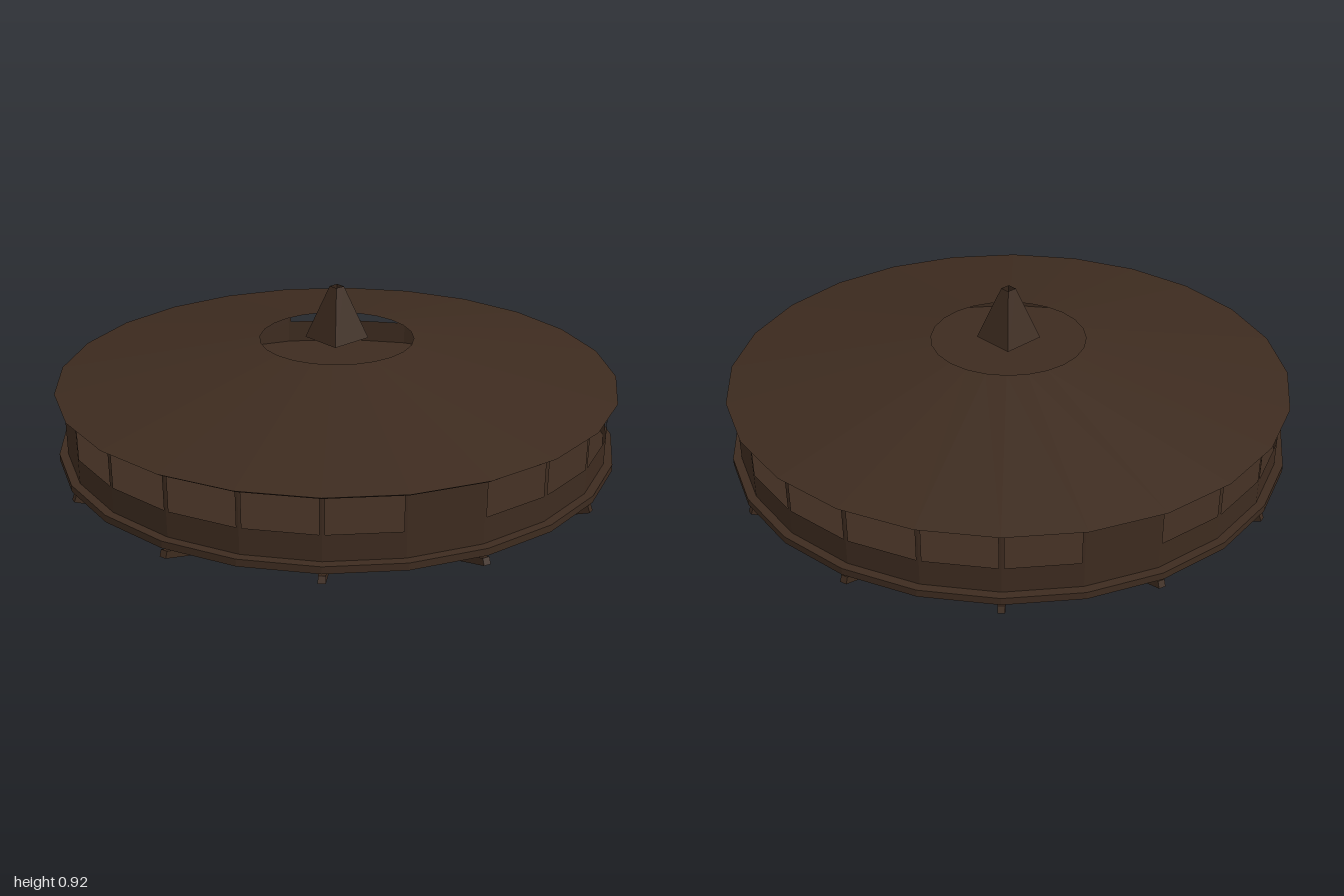
import * as THREE from 'three';

const SIDES = 24;
const WALL_R = 0.97;

export function createModel() {
  const model = new THREE.Group();
  model.name = 'roundPavilion';

  const darkWood = new THREE.MeshStandardMaterial({
    color: 0x3d2b1f, flatShading: true, side: THREE.DoubleSide,
  });
  darkWood.name = 'dark wood';

  const add = (name, geometry, parent = model) => {
    const mesh = new THREE.Mesh(geometry, darkWood);
    mesh.name = name;
    parent.add(mesh);
    return mesh;
  };
  const lathe = (name, points) => add(name,
    new THREE.LatheGeometry(points.map(([r, y]) => new THREE.Vector2(r, y)), SIDES));

  // Deck: shallow conical underside, rim and floor around the central opening
  lathe('deckUnderside', [[0.205, 0.24], [1, 0.345]]);
  lathe('deckRim', [[1, 0.345], [1, 0.37]]);
  lathe('floor', [[1, 0.37], [0.205, 0.37]]);

  // Landing that covers part of the opening
  const landing = add('landing',
    new THREE.RingGeometry(0.04, 0.206, 14, 1, -Math.PI / 6, Math.PI * 7 / 6));
  landing.rotation.x = -Math.PI / 2;
  landing.position.y = 0.37;

  // Wall: parapet all round, four solid bays, slim mullions in the others
  lathe('parapet', [[WALL_R, 0.37], [WALL_R, 0.46]]);
  const step = Math.PI * 2 / SIDES;
  const bayWidth = 2 * WALL_R * Math.sin(step / 2);
  const apothem = WALL_R * Math.cos(step / 2);
  const bayHeight = 0.14;
  for (let i = 0; i < SIDES; i++) {
    const bay = new THREE.Group();
    bay.name = 'wallBay';
    bay.rotation.y = (i + 0.5) * step;
    model.add(bay);
    if (i % 6 === 1) {
      add('solidPanel', new THREE.PlaneGeometry(bayWidth, bayHeight), bay)
        .position.set(0, 0.46 + bayHeight / 2, apothem);
    } else {
      for (const s of [-1, 1]) {
        add('mullion', new THREE.PlaneGeometry(0.009, bayHeight), bay)
          .position.set(s * (bayWidth / 2 - 0.0045), 0.46 + bayHeight / 2, apothem);
      }
    }
  }

  // Roof: low cone with an open eye and thin eaves
  lathe('roof', [[1, 0.597], [0.275, 0.73]]);
  lathe('eaves', [[0.96, 0.587], [0.985, 0.587], [1, 0.597]]);

  // Four-sided open chimney hood above the eye
  add('chimneyHood', new THREE.CylinderGeometry(0.025, 0.112, 0.19, 4, 1, true))
    .position.y = 0.825;

  // Twelve slanted struts fanning out under the deck
  const inner = new THREE.Vector2(0.195, 0.016);
  const outer = new THREE.Vector2(0.994, 0.322);
  const length = inner.distanceTo(outer);
  for (let i = 0; i < 12; i++) {
    const pivot = new THREE.Group();
    pivot.name = 'strutPivot';
    pivot.rotation.y = i * Math.PI / 6;
    model.add(pivot);
    const strut = add('strut', new THREE.BoxGeometry(length, 0.024, 0.024), pivot);
    strut.position.set((inner.x + outer.x) / 2, (inner.y + outer.y) / 2, 0);
    strut.rotation.z = Math.atan2(outer.y - inner.y, outer.x - inner.x);
  }

  return model;
}
